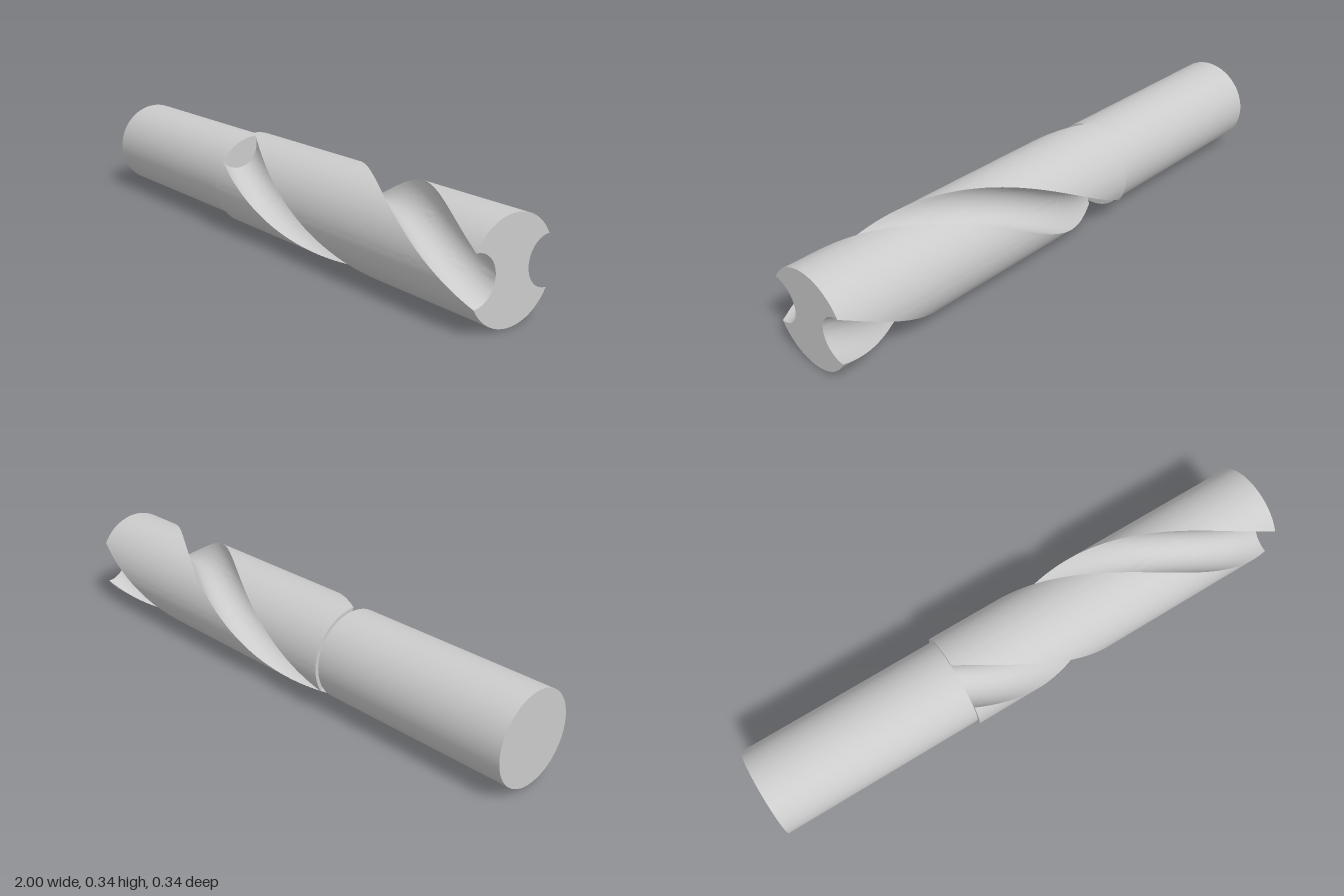
import * as THREE from 'three';
import { toCreasedNormals } from 'three/addons/utils/BufferGeometryUtils.js';

const R = 0.1715;          // cutting body radius
const SHANK_R = 0.159;
const STEP_X = -0.26;      // where shank meets the fluted body
const FLUTE_R = 0.0825;    // flute groove radius
const FLUTE_D = 0.1505;    // flute centre distance from the axis
const HALF_TURN = 0.94;    // length along x of half a helix turn

// Round section with two opposite circular grooves
function fluteSection() {
  const a = Math.acos((R * R + FLUTE_D ** 2 - FLUTE_R ** 2) / (2 * R * FLUTE_D));
  const b = Math.atan2(R * Math.sin(a), FLUTE_D - R * Math.cos(a));
  const pts = [];
  for (const s of [1, -1]) {
    for (let i = 0; i <= 36; i++) {
      const t = a + (Math.PI - 2 * a) * i / 36;
      pts.push(new THREE.Vector2(s * R * Math.cos(t), s * R * Math.sin(t)));
    }
    for (let i = 1; i < 24; i++) {
      const t = b - 2 * b * i / 24;
      pts.push(new THREE.Vector2(s * (FLUTE_R * Math.cos(t) - FLUTE_D), s * FLUTE_R * Math.sin(t)));
    }
  }
  return new THREE.Shape(pts);
}

export function createModel() {
  const group = new THREE.Group();
  group.name = 'twistDrill';
  const material = new THREE.MeshStandardMaterial({ color: 0xcccccc });

  // Plain shank
  const shankGeo = new THREE.CylinderGeometry(SHANK_R, SHANK_R, STEP_X + 1, 72);
  shankGeo.rotateZ(Math.PI / 2);
  const shank = new THREE.Mesh(shankGeo, material);
  shank.name = 'shank';
  shank.position.set((STEP_X - 1) / 2, R, 0);

  // Fluted body: straight extrusion twisted about the x axis
  const geo = new THREE.ExtrudeGeometry(fluteSection(), { depth: 1 - STEP_X, steps: 90, bevelEnabled: false });
  geo.rotateY(Math.PI / 2).translate(STEP_X, 0, 0);
  const p = geo.attributes.position;
  for (let i = 0; i < p.count; i++) {
    const x = p.getX(i), y = p.getY(i), z = p.getZ(i);
    const t = (1 - x) / HALF_TURN * Math.PI;
    const c = Math.cos(t), s = Math.sin(t);
    p.setXYZ(i, x, z * s + y * c, z * c - y * s);
  }
  const body = new THREE.Mesh(toCreasedNormals(geo, 0.6), material);
  body.name = 'flutedBody';
  body.position.y = R;

  group.add(shank, body);
  return group;
}
